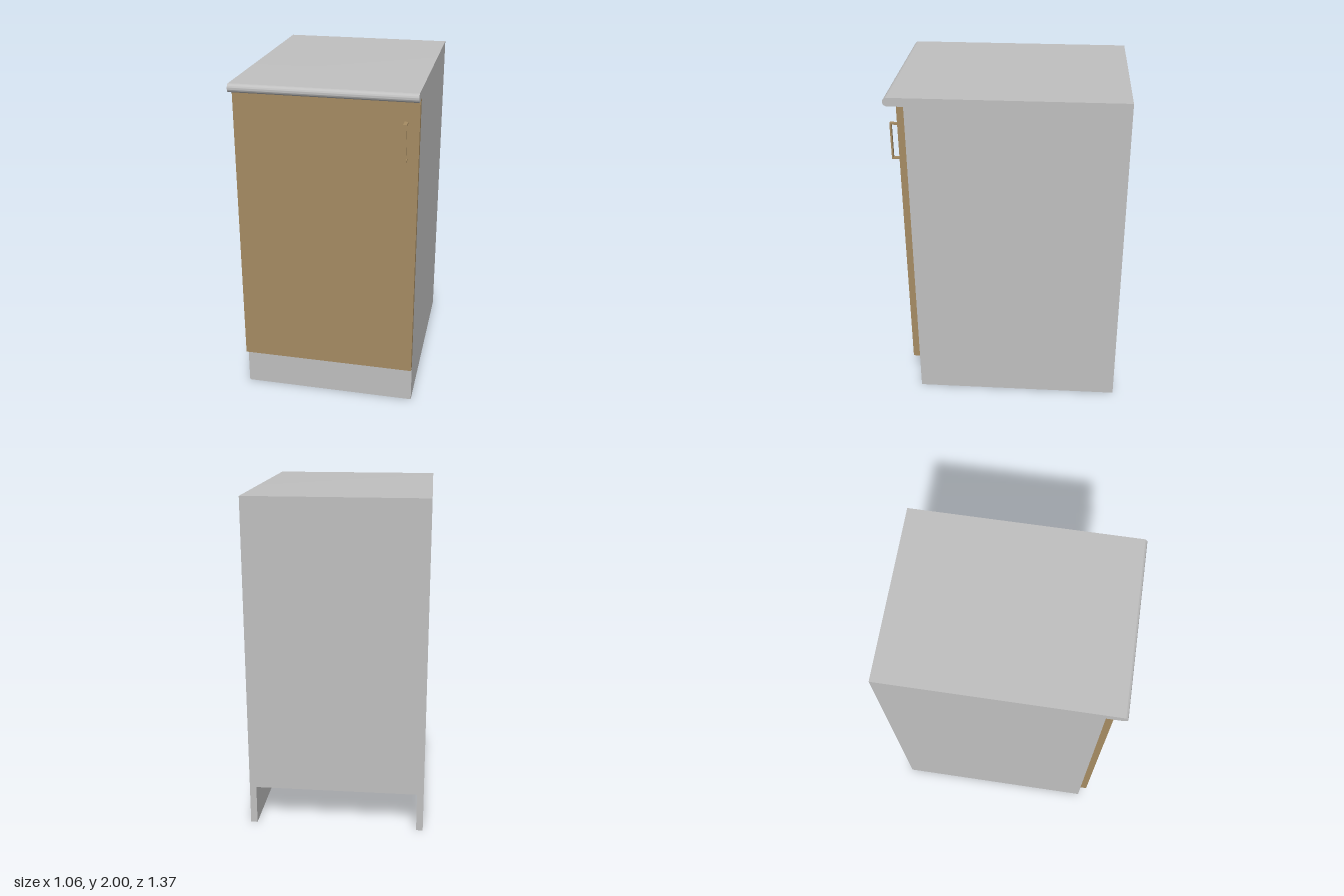
import * as THREE from 'three';
import { toCreasedNormals } from 'three/addons/utils/BufferGeometryUtils.js';

const W = 1.056;          // overall width
const BACK = -0.685;      // back plane
const FRONT = 0.57;       // carcass front plane
const PLINTH = 0.238;     // height of the open base
const TOP = 2, SLAB = 0.05, PANEL = 0.04;

export function createModel() {
  const model = new THREE.Group();
  model.name = 'baseCabinet';

  const grey = new THREE.MeshStandardMaterial({ color: 0xc0c0c0 });
  grey.name = 'light grey';
  const wood = new THREE.MeshStandardMaterial({ color: 0xa68c63 });
  wood.name = 'wood brown';

  // Box given by its minimum and maximum corners
  const box = (name, material, [x0, y0, z0], [x1, y1, z1], parent = model) => {
    const mesh = new THREE.Mesh(new THREE.BoxGeometry(x1 - x0, y1 - y0, z1 - z0), material);
    mesh.position.set((x0 + x1) / 2, (y0 + y1) / 2, (z0 + z1) / 2);
    mesh.name = name;
    parent.add(mesh);
  };

  const h = W / 2, under = TOP - SLAB;

  // Carcass with side panels reaching the floor, open base at the back
  box('carcass', grey, [-h + PANEL, PLINTH, BACK], [h - PANEL, under, FRONT]);
  box('rightSidePanel', grey, [-h, 0, BACK], [-h + PANEL, under, FRONT]);
  box('leftSidePanel', grey, [h - PANEL, 0, BACK], [h, under, FRONT]);
  box('plinth', grey, [-h + PANEL, 0, FRONT - PANEL], [h - PANEL, PLINTH, FRONT]);

  // Worktop with a half-round front edge, profile drawn in z and y
  const r = SLAB / 2;
  const profile = new THREE.Shape();
  profile.moveTo(BACK, under);
  profile.lineTo(0.685 - r, under);
  profile.absarc(0.685 - r, under + r, r, -Math.PI / 2, Math.PI / 2, false);
  profile.lineTo(BACK, TOP);
  profile.closePath();
  const slab = new THREE.ExtrudeGeometry(profile, { depth: W, bevelEnabled: false, curveSegments: 16 });
  slab.rotateY(-Math.PI / 2).translate(h, 0, 0);
  const worktop = new THREE.Mesh(toCreasedNormals(slab, 0.6), grey);
  worktop.name = 'worktop';
  model.add(worktop);

  // Door
  const doorFront = 0.61;
  box('door', wood, [-h, PLINTH, FRONT], [h, under, doorFront]);

  // Handle: upright grip on two short posts
  const handle = new THREE.Group();
  handle.name = 'handle';
  model.add(handle);
  const x0 = 0.445, x1 = 0.465, y0 = 1.605, y1 = 1.827, z1 = 0.668, t = 0.01;
  box('handleGrip', wood, [x0, y0, z1 - t], [x1, y1, z1], handle);
  for (const [name, y] of [['lowerHandlePost', y0], ['upperHandlePost', y1 - t]]) {
    box(name, wood, [x0, y, doorFront], [x1, y + t, z1 - t], handle);
  }

  return model;
}
